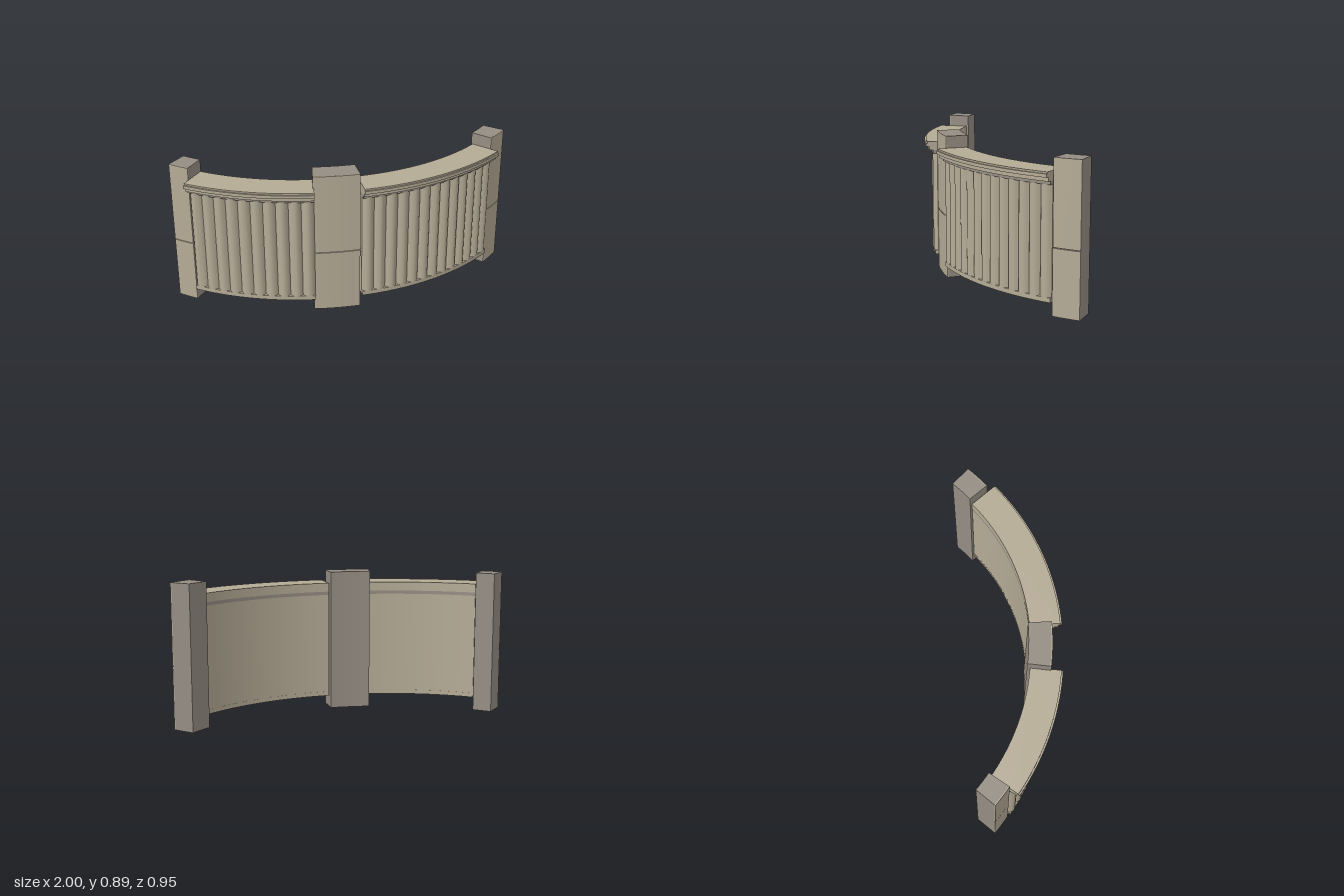
import * as THREE from 'three';
import { toCreasedNormals } from 'three/addons/utils/BufferGeometryUtils.js';

const sandstone = new THREE.MeshStandardMaterial({ color: 0xb5ab96 });
sandstone.name = 'sandstone';
const greyStone = new THREE.MeshStandardMaterial({ color: 0x958d83 });
greyStone.name = 'grey stone';

const RAD = Math.PI / 180;
const rightArc = { x: 0.36, z: -1.08 };
const leftArc = { x: 0.32, z: -1.095 };

// Upright block following an arc; outer(t) gives the front radius along it (t from 0 to 1)
function arcBlock(name, material, c, inner, outer, a0, a1, y0, y1, steps = 24) {
  const radius = typeof outer === 'function' ? outer : () => outer;
  const at = (r, t) => {
    const a = (a0 + (a1 - a0) * t) * RAD;
    return new THREE.Vector2(c.x + r * Math.sin(a), -(c.z + r * Math.cos(a)));
  };
  const points = [];
  for (let i = 0; i <= steps; i++) points.push(at(radius(i / steps), i / steps));
  for (let i = 24; i >= 0; i--) points.push(at(inner, i / 24));
  let geometry = new THREE.ExtrudeGeometry(new THREE.Shape(points), { depth: y1 - y0, bevelEnabled: false });
  geometry.rotateX(-Math.PI / 2);
  geometry.translate(0, y0, 0);
  geometry = toCreasedNormals(geometry, 0.6);
  const mesh = new THREE.Mesh(geometry, material);
  mesh.name = name;
  return mesh;
}

// Curved wall with convex reeding, a base band and a stepped cornice
function wallPanel(name, c, a0, a1, reeds) {
  const group = new THREE.Group();
  group.name = name;
  const reeding = (t) => {
    const u = ((t * reeds + 1e-6) % 1) * 2 - 1;
    return 1.485 + 0.025 * (1 - u * u);
  };
  group.add(arcBlock('baseBand', sandstone, c, 1.36, 1.505, a0, a1, 0.08, 0.107));
  group.add(arcBlock('reededWall', sandstone, c, 1.361, reeding, a0, a1, 0.107, 0.742, reeds * 8));
  group.add(arcBlock('lowerMoulding', greyStone, c, 1.36, 1.512, a0, a1, 0.742, 0.763));
  [[1.535, 0.763, 0.788], [1.555, 0.788, 0.808], [1.545, 0.808, 0.818]].forEach(([r, y0, y1], i) => {
    group.add(arcBlock('cornice' + (i + 1), sandstone, c, 1.36, r, a0, a1, y0, y1));
  });
  return group;
}

// Grey post faced with two thin slabs that leave a narrow joint
function post(name, c, a0, a1) {
  const group = new THREE.Group();
  group.name = name;
  group.add(arcBlock('postBody', greyStone, c, 1.349, 1.482, a0, a1, 0, 0.89, 8));
  group.add(arcBlock('lowerFacing', sandstone, c, 1.482, 1.489, a0, a1, 0, 0.389, 8));
  group.add(arcBlock('upperFacing', sandstone, c, 1.482, 1.489, a0, a1, 0.393, 0.89, 8));
  return group;
}

export function createModel() {
  const model = new THREE.Group();
  model.name = 'curvedBalustrade';
  model.add(wallPanel('longWall', rightArc, -18.8, 18.8, 13));
  model.add(wallPanel('shortWall', leftArc, -57.1, -28.1, 10));
  model.add(post('endPostLeft', rightArc, 19, 25.4));
  model.add(post('middlePost', rightArc, -30, -19.2));
  model.add(post('endPostRight', leftArc, -62.4, -57.3));
  return model;
}
